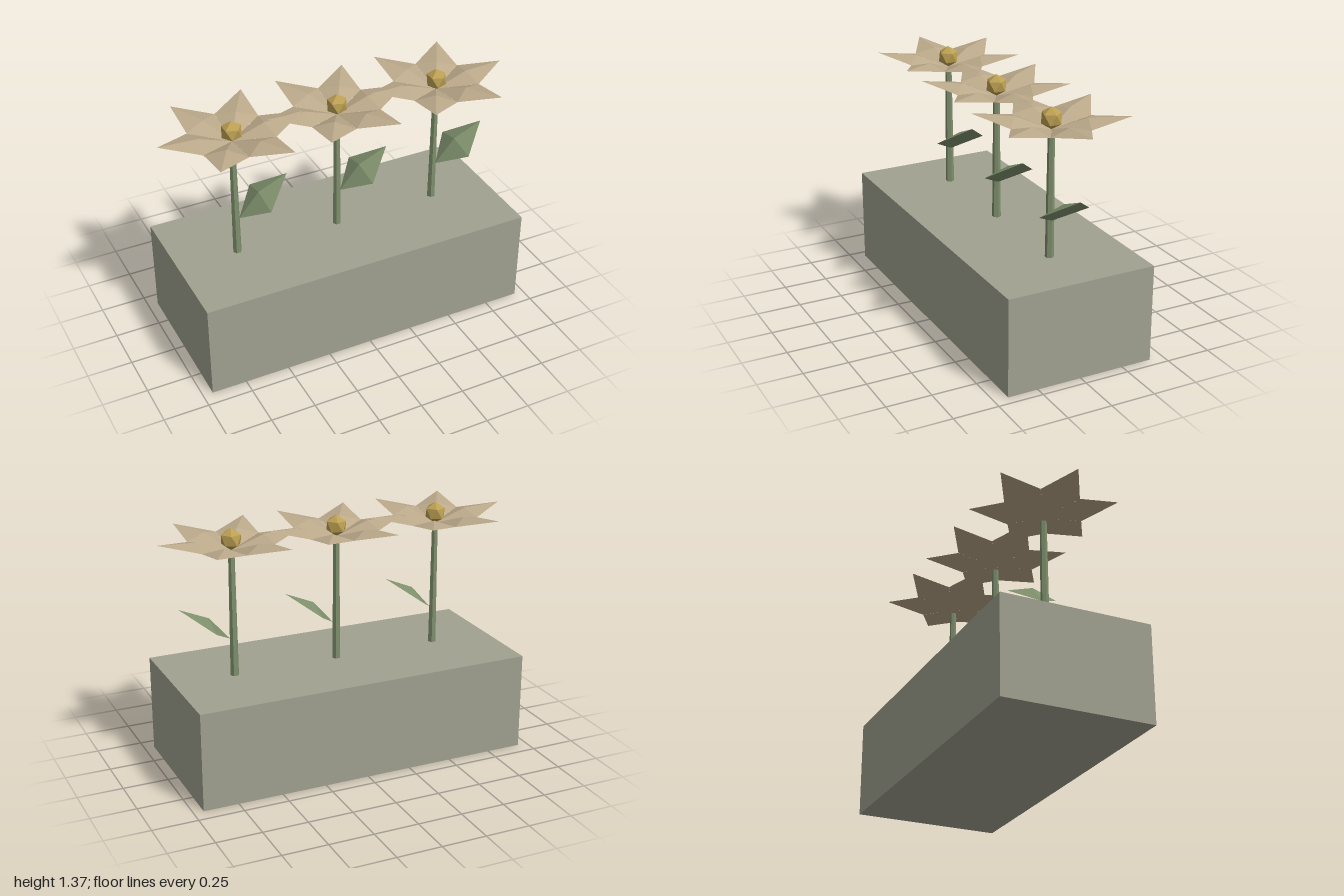
import * as THREE from 'three';

const mat = (name, color) => Object.assign(new THREE.MeshStandardMaterial({ color, flatShading: true }), { name });

function addMesh(parent, name, geometry, material, x = 0, y = 0, z = 0) {
  const mesh = new THREE.Mesh(geometry, material);
  mesh.name = name;
  mesh.position.set(x, y, z);
  parent.add(mesh);
  return mesh;
}

// Flat-bottomed diamond blade along +x with one raised point on top
function bladeGeometry(length, halfWidth, sideAt, peakAt, peakHeight) {
  const base = [0, 0, 0], tip = [length, 0, 0];
  const left = [sideAt, 0, halfWidth], right = [sideAt, 0, -halfWidth];
  const peak = [peakAt, peakHeight, 0];
  const faces = [
    base, left, peak, left, tip, peak, tip, right, peak, right, base, peak,
    base, tip, left, base, right, tip,
  ];
  const geometry = new THREE.BufferGeometry();
  geometry.setAttribute('position', new THREE.Float32BufferAttribute(faces.flat(), 3));
  geometry.computeVertexNormals();
  return geometry;
}

export function createModel() {
  const model = new THREE.Group();
  model.name = 'flowerPlanter';

  const planterGrey = mat('planterGrey', 0xa0a190);
  const leafGreen = mat('leafGreen', 0x7e8f6c);
  const petalTan = mat('petalTan', 0xbba98a);
  const centreGold = mat('centreGold', 0xbb9f52);

  // Planter box
  addMesh(model, 'planter', new THREE.BoxGeometry(1.89, 0.545, 0.84), planterGrey, 0, 0.2725, 0);

  // Shared geometry
  const stemGeo = new THREE.CylinderGeometry(0.018, 0.024, 0.675, 6, 1, false, Math.PI / 6);
  const leafGeo = bladeGeometry(0.348, 0.145, 0.155, 0.172, 0.04);
  const petalGeo = bladeGeometry(0.407, 0.115, 0.203, 0.191, 0.03);
  const centreGeo = new THREE.IcosahedronGeometry(0.06, 0);
  centreGeo.rotateZ(-Math.atan(2 / (1 + Math.sqrt(5)))); // one corner straight up

  // Three identical flowers in a row
  for (const x of [-0.6, 0, 0.6]) {
    const flower = new THREE.Group();
    flower.name = 'flower';
    flower.position.x = x;
    model.add(flower);

    addMesh(flower, 'stem', stemGeo, leafGreen, 0, 0.8825, 0);
    addMesh(flower, 'leaf', leafGeo, leafGreen, 0.02, 0.755, 0).rotation.z = 0.63;
    addMesh(flower, 'flowerCentre', centreGeo, centreGold, 0, 1.305, 0);

    // Six petals tilted upward
    for (let i = 0; i < 6; i++) {
      const petal = addMesh(flower, 'petal', petalGeo, petalTan, 0, 1.245, 0);
      petal.rotation.set(0, (i * Math.PI) / 3, 0.185);
    }
  }
  return model;
}
